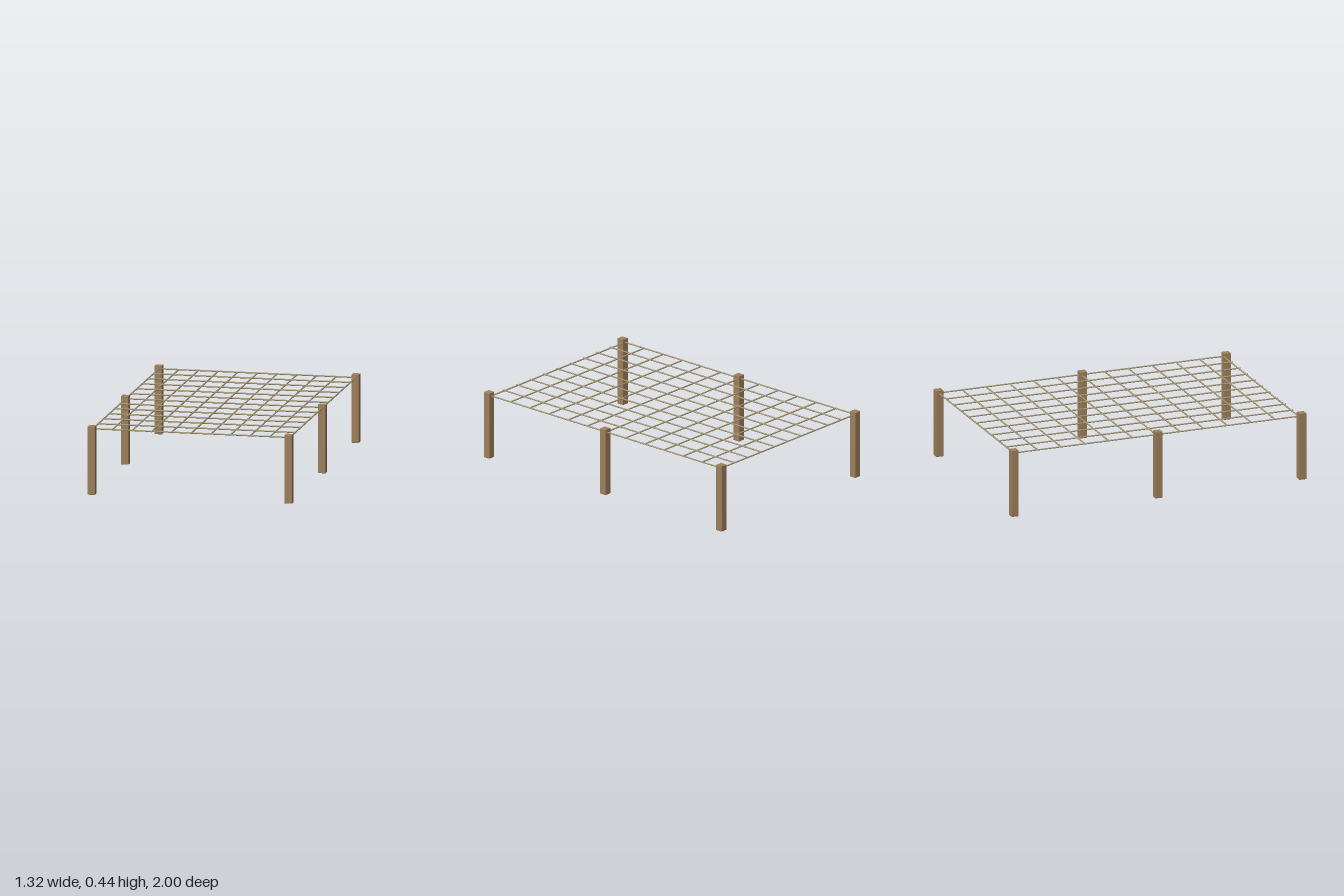
import * as THREE from 'three';
import { RoundedBoxGeometry } from 'three/addons/geometries/RoundedBoxGeometry.js';

const HALF_WIDTH = 0.635, HALF_LENGTH = 0.976;
const POST = 0.048, POST_HEIGHT = 0.44;
const ROPE_RADIUS = 0.0048, ROPE_Y = 0.417;

export function createModel() {
  const model = new THREE.Group();
  const wood = new THREE.MeshStandardMaterial({ color: 0xa0805c });
  const cord = new THREE.MeshStandardMaterial({ color: 0xa89a78 });

  // Three pairs of square posts with slightly eased edges
  const postGeometry = new RoundedBoxGeometry(POST, POST_HEIGHT, POST, 1, 0.003);
  for (const side of [-1, 1]) {
    for (const row of [-1, 0, 1]) {
      const post = new THREE.Mesh(postGeometry, wood);
      post.name = 'post';
      post.position.set(side * HALF_WIDTH, POST_HEIGHT / 2, row * HALF_LENGTH);
      model.add(post);
    }
  }

  // Net: cords across the width and along the length
  const net = new THREE.Group();
  net.name = 'net';
  model.add(net);

  const crossGeometry = new THREE.CylinderGeometry(ROPE_RADIUS, ROPE_RADIUS, HALF_WIDTH * 2, 8);
  crossGeometry.rotateZ(Math.PI / 2);
  for (let i = 0; i < 13; i++) {
    const cross = new THREE.Mesh(crossGeometry, cord);
    cross.name = 'crossCord';
    cross.position.set(0, ROPE_Y, -HALF_LENGTH + i * 0.161);
    net.add(cross);
  }

  const longGeometry = new THREE.CylinderGeometry(ROPE_RADIUS, ROPE_RADIUS, 1.946, 8);
  longGeometry.rotateX(Math.PI / 2);
  for (let i = 0; i < 11; i++) {
    const long = new THREE.Mesh(longGeometry, cord);
    long.name = 'longCord';
    long.position.set(-HALF_WIDTH + i * HALF_WIDTH / 5, ROPE_Y, -0.003);
    net.add(long);
  }

  return model;
}
